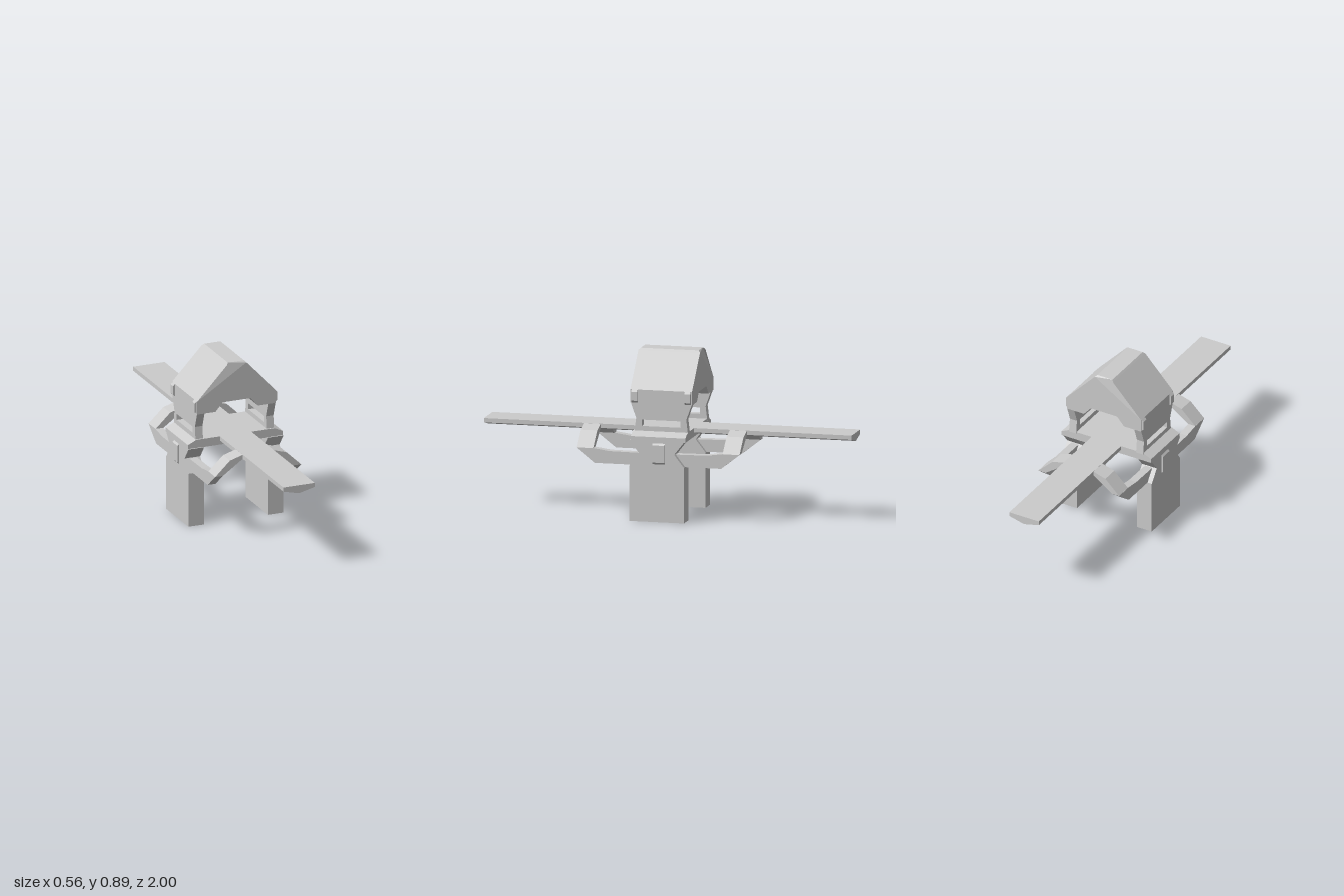
import * as THREE from 'three';

const material = new THREE.MeshStandardMaterial({ color: 0xcccccc, flatShading: true });

const toShape = (pts) => new THREE.Shape(pts.map(([a, b]) => new THREE.Vector2(a, b)));

// Profile in (x, y), extruded from z0 to z1
function extrudeZ(pts, z0, z1) {
  const g = new THREE.ExtrudeGeometry(toShape(pts), { depth: z1 - z0, bevelEnabled: false });
  return g.translate(0, 0, z0);
}

// Profile in (z, y), extruded from x0 to x1
function extrudeX(pts, x0, x1, hole) {
  const shape = toShape(pts);
  if (hole) shape.holes.push(toShape(hole));
  const g = new THREE.ExtrudeGeometry(shape, { depth: x1 - x0, bevelEnabled: false });
  return g.rotateY(-Math.PI / 2).translate(x1, 0, 0);
}

// Complete a half outline by mirroring it across the vertical axis
const mirrored = (half) => [...half, ...half.map(([a, b]) => [-a, b]).reverse()];

export function createModel() {
  const model = new THREE.Group();
  const add = (name, geometry) => {
    const mesh = new THREE.Mesh(geometry, material);
    mesh.name = name;
    model.add(mesh);
    return mesh;
  };
  const bodyZ = 0.0125; // pillars and braces sit slightly forward

  // Long walkway with a shallow keel
  add('walkway', extrudeZ([[-0.09, 0.478], [-0.09, 0.455], [0, 0.433], [0.09, 0.455], [0.09, 0.478]], -1, 1));

  // Central platform with sloped shoulders
  add('platform', extrudeZ(mirrored([[0.273, 0.432], [0.273, 0.455], [0.225, 0.478]]), -0.143, 0.153));

  // Gabled roof block with an arched underside
  const roof = extrudeZ(mirrored([
    [0.08, 0.673], [0.122, 0.625], [0.226, 0.625], [0.226, 0.697], [0.056, 0.877], [0.046, 0.887],
  ]), -0.167, 0.167);
  const p = roof.attributes.position;
  for (let i = 0; i < p.count; i++) {
    // Chamfer both ends of the ridge
    if (p.getY(i) > 0.88) p.setZ(i, p.getZ(i) - Math.sign(p.getZ(i)) * 0.01);
  }
  roof.computeVertexNormals();
  add('roof', roof);

  for (const s of [1, -1]) {
    const span = (a, b) => (s > 0 ? [a, b] : [-b, -a]);

    // Pillar with a pinched neck
    add('pillar', extrudeX(mirrored([
      [0.148, 0], [0.148, 0.297], [0.095, 0.365], [0.148, 0.433],
    ]), ...span(0.183, 0.273))).position.z = bodyZ;

    // Raised plate on the pillar's outer face
    add('pillarPlate', extrudeZ([
      [s * 0.26, 0.31], [s * 0.273, 0.31], [s * 0.282, 0.32], [s * 0.282, 0.412], [s * 0.273, 0.422], [s * 0.26, 0.422],
    ], -0.032, 0.035));

    // Side frame: posts, sill and upper wall around a low opening
    add('sideFrame', extrudeX(mirrored([
      [0.145, 0.47], [0.136, 0.545], [0.165, 0.627],
    ]), ...span(0.183, 0.226), [[-0.105, 0.503], [0.105, 0.503], [0.105, 0.537], [-0.105, 0.537]]));

    for (const e of [1, -1]) {
      // Eave bracket at each corner
      const z0 = e > 0 ? 0.128 : -0.16;
      add('eaveBracket', extrudeZ([
        [s * 0.21, 0.627], [s * 0.226, 0.627], [s * 0.237, 0.638], [s * 0.237, 0.685], [s * 0.225, 0.698], [s * 0.21, 0.698],
      ], z0, z0 + 0.032));

      // Arm reaching out and down from the walkway
      const armZ = bodyZ + e * 0.397;
      add('braceArm', extrudeZ([
        [s * 0.06, 0.477], [s * 0.09, 0.477], [s * 0.163, 0.455],
        [s * 0.247, 0.375], [s * 0.203, 0.375], [s * 0.09, 0.455], [s * 0.06, 0.455],
      ], armZ - 0.046, armZ + 0.046));

      // Beam returning from the arm to the pillar
      add('braceBeam', extrudeX([
        [0.443, 0.375], [0.343, 0.297], [0.09, 0.297], [0.09, 0.362], [0.265, 0.364], [0.351, 0.39], [0.351, 0.377],
      ].map(([z, y]) => [e * z, Math.min(y, 0.376)]).filter((q, i) => i < 6), ...span(0.203, 0.247))).position.z = bodyZ;
    }
  }
  return model;
}
